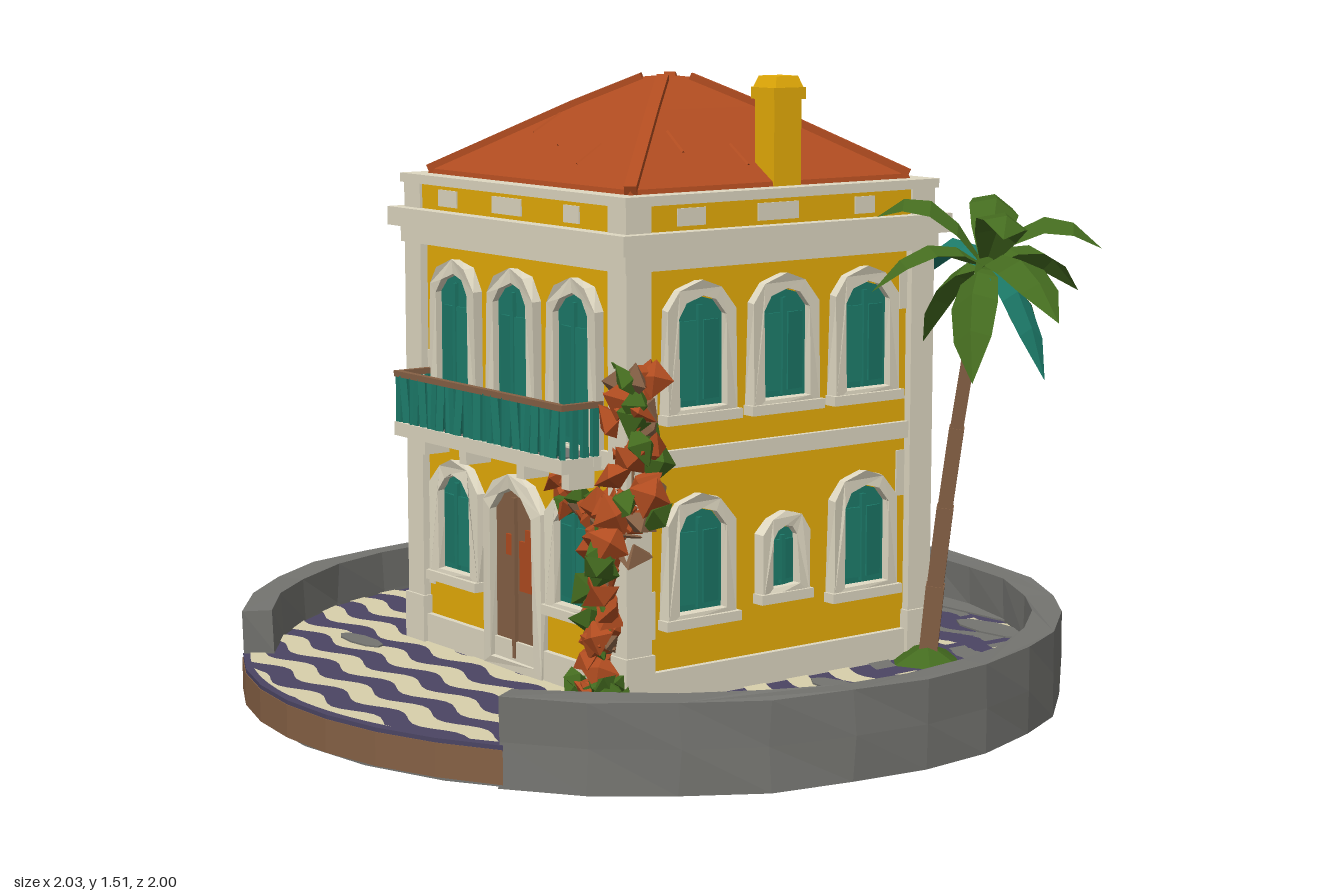
import * as THREE from 'three';

const paint = (name, color, side = THREE.FrontSide) => {
  const m = new THREE.MeshStandardMaterial({ color, flatShading: true, side });
  m.name = name;
  return m;
};
const yellow = paint('ochre wall', 0xe6ad08), trim = paint('pale trim', 0xdfd8c2), cream = paint('cream paving', 0xd8d0ab);
const grey = paint('grey stone', 0x747470), purple = paint('purple paving', 0x4b4563);
const terracotta = paint('terracotta', 0xb04c20), brown = paint('brown wood', 0x866145);
const green = paint('leaf green', 0x446b1f, THREE.DoubleSide);
const teal = paint('teal', 0x1c7a69, THREE.DoubleSide);
const V = (x, y, z) => new THREE.Vector3(x, y, z);

let seed = 7;
const rnd = () => (seed = (seed * 16807) % 2147483647) / 2147483647;

function add(parent, name, geo, mat, x = 0, y = 0, z = 0) {
  const m = new THREE.Mesh(geo, mat);
  m.name = name;
  m.position.set(x, y, z);
  parent.add(m);
  return m;
}
// box given by its centre in x and z and its bottom and top heights
const block = (p, name, mat, x, z, w, d, y0, y1) =>
  add(p, name, new THREE.BoxGeometry(w, y1 - y0, d), mat, x, (y0 + y1) / 2, z);
function group(parent, name, x = 0, y = 0, z = 0) {
  const g = new THREE.Group();
  g.name = name;
  g.position.set(x, y, z);
  parent.add(g);
  return g;
}
// small uneven shift that moves coincident corners alike
function rough(geo, amt) {
  const p = geo.attributes.position;
  for (let i = 0; i < p.count; i++) {
    const x = p.getX(i), y = p.getY(i), z = p.getZ(i);
    p.setXYZ(i, x + amt * Math.sin(37 * y + 53 * z), y + amt * Math.sin(41 * x + 29 * z), z + amt * Math.sin(47 * x + 31 * y));
  }
  return geo;
}
function beam(p, name, mat, a, b, r) {
  const m = add(p, name, new THREE.CylinderGeometry(r, r, a.distanceTo(b), 4), mat);
  m.position.copy(a).lerp(b, 0.5);
  m.quaternion.setFromUnitVectors(V(0, 1, 0), b.clone().sub(a).normalize());
}
function surface(pos) {
  const g = new THREE.BufferGeometry();
  g.setAttribute('position', new THREE.Float32BufferAttribute(pos, 3));
  g.computeVertexNormals();
  return g;
}

// ---- round base, paving and open rim wall
function buildBase(root) {
  const g = group(root, 'base');
  const disc = (name, mat, r, y0, y1, start = 0, sweep = Math.PI * 2) =>
    add(g, name, new THREE.CylinderGeometry(r, r, y1 - y0, sweep > 2 ? 28 : 7, 1, false, start, sweep), mat, 0, (y0 + y1) / 2, 0);
  disc('underside', grey, 0.985, 0.005, 0.02);
  disc('paving', purple, 0.955, 0.02, 0.102);
  disc('apron', brown, 1, 0.015, 0.092, -0.55, 1.15);
  disc('apronPaving', purple, 0.998, 0.09, 0.102, -0.55, 1.15);
  const s = new THREE.Shape(), n = 26, a0 = 0.59, a1 = 2 * Math.PI - 0.54;
  const at = (i, r) => { const a = a0 + (a1 - a0) * i / n; return [r * Math.sin(a), -r * Math.cos(a)]; };
  s.moveTo(...at(0, 0.997));
  for (let i = 1; i <= n; i++) s.lineTo(...at(i, 0.997));
  for (let i = n; i >= 0; i--) s.lineTo(...at(i, 0.925));
  const wall = new THREE.ExtrudeGeometry(s, { depth: 0.205, steps: 2, bevelEnabled: false }).rotateX(-Math.PI / 2);
  add(g, 'rimWall', rough(wall, 0.003), grey, 0, 0.005, 0);

  // wavy stripes cut to the circle; behind the house worn stretches are grey
  const pale = [], worn = [], dx = 0.03;
  const edge = (x, z) => {
    const lim = Math.sqrt(Math.max(0, (z > 0.75 ? 0.98 : 0.95) ** 2 - x * x));
    return Math.min(lim, Math.max(-lim, z + 0.02 * Math.sin(x * 2 * Math.PI / 0.25)));
  };
  for (let row = 0; row < 15; row++) {
    const z = 0.962 - row * 0.127;
    for (let x = -0.93; x < 0.93; x += dx) {
      const wear = z < -0.3 ? Math.sin(x * 9 + row * 2.3) : -1;
      if (wear > 0.1 && wear < 0.45) continue;
      const h = z < -0.5 ? 0.028 + 0.012 * Math.sin(x * 14 + row) : 0.032;
      const a = edge(x, z - h), b = edge(x, z + h), c = edge(x + dx, z + h), d = edge(x + dx, z - h);
      if (b - a + c - d > 0.001) (wear > 0 ? worn : pale).push(x, 0, a, x, 0, b, x + dx, 0, c, x, 0, a, x + dx, 0, c, x + dx, 0, d);
    }
  }
  add(g, 'waveStripes', surface(pale), cream, 0, 0.105, 0);
  add(g, 'wornStripes', surface(worn), grey, 0, 0.105, 0);
  // worn grey patches
  for (const [x, z, w, d] of [[-0.3, -0.84, 0.2, 0.04], [0.1, -0.88, 0.34, 0.04], [0.4, -0.77, 0.13, 0.05],
    [0.62, -0.08, 0.1, 0.04], [-0.66, 0.16, 0.1, 0.03], [-0.45, 0.56, 0.09, 0.03], [0.6, 0.5, 0.08, 0.03]])
    add(g, 'wornPatch', new THREE.CylinderGeometry(1, 1, 0.004, 9), grey, x, 0.107, z).scale.set(w, 1, d);
}

// ---- arched openings
function arch(w, h, y = 0, path = new THREE.Shape()) {
  [[-0.5, 0], [0.5, 0], [0.5, h / w - 0.32], [0.3, h / w - 0.08], [0, h / w], [-0.3, h / w - 0.08], [-0.5, h / w - 0.32]]
    .forEach(([a, b], i) => path[i ? 'lineTo' : 'moveTo'](a * w, b * w + y));
  path.closePath();
  return path;
}
function opening(side, name, x, y, w, h, fill) {
  const g = group(side, name, x, y, 0.43);
  const s = arch(w + 0.065, h + 0.06, -0.025);
  s.holes.push(arch(w, h, 0, new THREE.Path()));
  const frame = new THREE.ExtrudeGeometry(s, { depth: 0.03, bevelEnabled: false });
  add(g, 'frame', rough(frame, 0.004), trim);
  add(g, 'panel', new THREE.ShapeGeometry(arch(w, h)), fill, 0, 0, 0.012);
  block(g, 'centreStile', fill, 0, 0.014, 0.012, 0.016, 0.005, h - 0.02);
  if (fill === teal) {
    block(g, 'sill', trim, 0, 0.02, w + 0.08, 0.04, -0.035, -0.012);
    // half-open shutter leaves
    for (const k of [-1, 1]) {
      const leaf = block(g, 'shutterLeaf', teal, k * w * 0.25, 0.014, w * 0.36, 0.008, 0.015, h * 0.78);
      leaf.rotation.y = k * 0.14;
    }
  }
  return g;
}

function buildHouse(root) {
  const h = group(root, 'house', 0.03, 0, -0.02);
  const square = (name, mat, half, y0, y1) => block(h, name, mat, 0, 0, half * 2, half * 2, y0, y1);
  square('walls', yellow, 0.435, 0.1, 1.12);
  square('plinth', trim, 0.45, 0.1, 0.175);
  square('floorBand', trim, 0.449, 0.64, 0.68);
  square('cornice', trim, 0.462, 1.09, 1.13);
  square('corniceLip', trim, 0.485, 1.13, 1.175);
  square('parapet', yellow, 0.448, 1.17, 1.24);
  square('parapetCap', trim, 0.462, 1.235, 1.257);
  for (const x of [-1, 1]) for (const z of [-1, 1]) {
    block(h, 'cornerPilaster', trim, x * 0.42, z * 0.42, 0.07, 0.07, 0.1, 1.1);
    block(h, 'pilasterFoot', trim, x * 0.42, z * 0.42, 0.082, 0.082, 0.1, 0.22);
    block(h, 'parapetPost', trim, x * 0.42, z * 0.42, 0.07, 0.07, 1.17, 1.24);
  }
  ['front', 'right', 'back', 'left'].forEach((name, i) => {
    const side = group(h, name + 'Facade');
    side.rotation.y = i * Math.PI / 2;
    for (const x of [-0.245, 0, 0.245]) {
      if (x || i !== 2) opening(side, 'upperWindow', x, i ? 0.775 : 0.68, 0.135, i ? 0.25 : 0.345, teal);
      if (x) opening(side, 'lowerWindow', x, 0.305, 0.135, 0.235, teal);
    }
    if (i === 1) opening(side, 'smallWindow', 0, 0.33, 0.075, 0.14, teal);
    if (i === 3) opening(side, 'lowerWindow', 0, 0.305, 0.135, 0.235, teal);
    // bare plaster on the parapet and wall
    for (const [x, w] of [[-0.27, 0.08], [-0.02, 0.12], [0.24, 0.06]]) block(side, 'plasterPatch', trim, x, 0.449, w, 0.005, 1.185, 1.225);
    for (const [x, y] of [[-0.37, 0.72], [0.375, 0.95], [-0.375, 0.25], [0.37, 0.5]]) block(side, 'plasterPatch', trim, x, 0.436, 0.025, 0.006, y, y + 0.11);
  });
  const door = opening(h, 'door', 0, 0.13, 0.17, 0.41, brown);
  for (const [x, y, w, t] of [[0.045, 0.17, 0.05, 0.12], [0.06, 0.26, 0.03, 0.06], [-0.02, 0.25, 0.03, 0.05]])
    block(door, 'rustPatch', terracotta, x, 0.015, w, 0.006, y, y + t);

  // balcony
  const b = group(h, 'balcony', 0, 0, 0.012);
  block(b, 'slab', trim, 0, 0.485, 0.7, 0.12, 0.635, 0.668);
  block(b, 'deck', grey, 0, 0.485, 0.67, 0.1, 0.668, 0.672);
  for (const x of [-0.3, -0.12, 0.12, 0.3]) block(b, 'bracket', trim, x, 0.465, 0.03, 0.07, 0.59, 0.636);
  for (let i = 0; i < 27; i++) {
    const bar = block(b, 'baluster', teal, -0.338 + i * 0.026, 0.535, 0.02, 0.012, 0.668, 0.782);
    bar.rotation.set(0, 0.5 * Math.sin(i * 2.1), 0.09 * Math.sin(i * 1.7));
  }
  block(b, 'topRail', brown, 0, 0.537, 0.7, 0.016, 0.778, 0.792);
  for (const x of [-0.343, 0.343]) {
    block(b, 'sideRail', brown, x, 0.485, 0.014, 0.11, 0.778, 0.792);
    for (const z of [0.45, 0.478, 0.506]) block(b, 'baluster', teal, x, z, 0.012, 0.016, 0.668, 0.782);
  }

  // hipped roof with raised hips and a few uneven tile ribs
  const r = group(h, 'roof'), prof = [[0.415, 1.25], [0.41, 1.268], [0.16, 1.425], [0.04, 1.493], [0, 1.498]];
  const shell = new THREE.LatheGeometry(prof.map(([x, y]) => new THREE.Vector2(x * Math.SQRT2, y)), 4).rotateY(Math.PI / 4);
  add(r, 'tiles', shell, terracotta);
  for (let i = 0; i < 4; i++) {
    const q = group(r, 'roofSide');
    q.rotation.y = i * Math.PI / 2;
    for (let k = 1; k < 3; k++) {
      const [a, y] = prof[k], [c, v] = prof[k + 1];
      beam(q, 'hip', terracotta, V(a, y - 0.004, a), V(c, v - 0.004, c), 0.02);
    }
    for (const x of [-0.18, -0.03, 0.12]) {
      const z0 = 0.26 + 0.12 * rnd(), z1 = z0 - 0.07, y = z => 1.264 + (0.41 - z) * 0.628;
      beam(q, 'tileRib', terracotta, V(x, y(z0), z0), V(x + 0.03 * (rnd() - 0.5), y(z1), z1), 0.007);
    }
  }
  // chimney
  const c = group(h, 'chimney', 0.38, 0, -0.035);
  block(c, 'stack', yellow, 0, 0, 0.07, 0.08, 1.24, 1.46);
  block(c, 'cap', yellow, 0, 0, 0.084, 0.094, 1.455, 1.482);
  add(c, 'capTop', new THREE.CylinderGeometry(0.045, 0.058, 0.026, 4).rotateY(Math.PI / 4), yellow, 0, 1.495, 0);
}

// ---- palms: folded, arching leaves on a curved trunk
function frond(len, lift, droop, width) {
  const pos = [], prof = [0.15, 0.8, 1, 0.8, 0];
  const ring = i => {
    const t = i / 4, y = lift * t - droop * t * t, w = width * prof[i];
    return [[len * t, y - w * 0.45, -w], [len * t, y, 0], [len * t, y - w * 0.45, w]];
  };
  for (let i = 0; i < 4; i++) {
    const a = ring(i), b = ring(i + 1);
    for (let k = 0; k < 2; k++) pos.push(...a[k], ...a[k + 1], ...b[k + 1], ...a[k], ...b[k + 1], ...b[k]);
  }
  return surface(pos);
}
function palm(root, base, head, size, turn, tealLeaves) {
  const g = group(root, 'palm');
  const mid = base.clone().lerp(head, 0.5).add(V((base.x - head.x) * 0.18, 0, (base.z - head.z) * 0.18));
  const pts = new THREE.QuadraticBezierCurve3(base, mid, head).getPoints(5);
  for (let i = 0; i < 5; i++) beam(g, 'trunk', brown, pts[i], pts[i + 1], 0.031 - i * 0.003);
  add(g, 'grassTuft', rough(new THREE.ConeGeometry(0.1, 0.05, 7), 0.012), green, base.x, 0.125, base.z);
  const crown = group(g, 'crown', head.x, head.y, head.z);
  for (let i = 0; i < 12; i++) {
    const low = i % 3;
    const lift = [0.46, 0.24, 0.06][low] + 0.08 * (rnd() - 0.5), droop = [0.38, 0.31, 0.29][low];
    const len = size * [0.85, 1.02, 0.72][low] * (0.85 + 0.3 * rnd());
    const leaf = add(crown, 'frond', frond(len, lift, droop, 0.06), tealLeaves.includes(i) ? teal : green);
    leaf.rotation.set(0.5 * (rnd() - 0.5), turn + i * Math.PI / 6 + 0.4 * (rnd() - 0.5), 0, 'YXZ');
  }
  add(crown, 'crownTip', new THREE.ConeGeometry(0.035, 0.13, 4), green, 0, 0.05, 0);
}

// ---- flowering climber around the front corner
function buildVine(root) {
  const g = group(root, 'climber');
  const path = [[0.41, 0.12, 0.47, 0.02], [0.42, 0.3, 0.46, 0.025], [0.44, 0.47, 0.45, 0.05], [0.475, 0.6, 0.42, 0.065],
    [0.485, 0.78, 0.41, 0.05], [0.485, 0.87, 0.41, 0.03]];
  const clump = (x, y, z, r, k) => {
    const mat = k % 4 === 2 ? green : k % 6 === 5 ? brown : terracotta;
    const m = add(g, mat === green ? 'leaf' : 'blossom', new THREE.OctahedronGeometry(r), mat, x, y, z);
    m.rotation.set(rnd() * 6, rnd() * 6, rnd() * 6);
    m.scale.z = 0.6;
  };
  const j = s => (rnd() - 0.5) * 2 * s;
  for (let i = 0; i < 5; i++) {
    const a = path[i], b = path[i + 1];
    beam(g, 'stem', brown, V(...a.slice(0, 3)), V(...b.slice(0, 3)), 0.012);
    for (let k = 0; k < 20; k++) {
      const [x, y, z, s] = a.map((v, n) => v + (b[n] - v) * k / 20);
      clump(x + j(s), y + j(0.02), z + j(s), 0.035 + 0.2 * s + 0.008 * rnd(), k);
    }
  }
  for (let k = 0; k < 16; k++) clump(0.25 + 0.013 * k, 0.585 - 0.004 * k + j(0.035), 0.455 + j(0.02), 0.036, k);
  for (let k = 0; k < 10; k++) clump(0.4 + j(0.09), 0.125 + rnd() * 0.05, 0.47 + j(0.04), 0.035, 2);
}

export function createModel() {
  const root = new THREE.Group();
  root.name = 'villa';
  buildBase(root);
  buildHouse(root);
  palm(root, V(-0.49, 0.1, -0.42), V(-0.55, 1.22, -0.63), 0.33, 0.2, [5]);
  palm(root, V(-0.53, 0.1, -0.37), V(-0.69, 1.04, -0.06), 0.29, 0.5, [5]);
  palm(root, V(0.54, 0.1, -0.42), V(0.71, 1.07, -0.43), 0.29, -0.85, [2, 7]);
  buildVine(root);
  return root;
}
